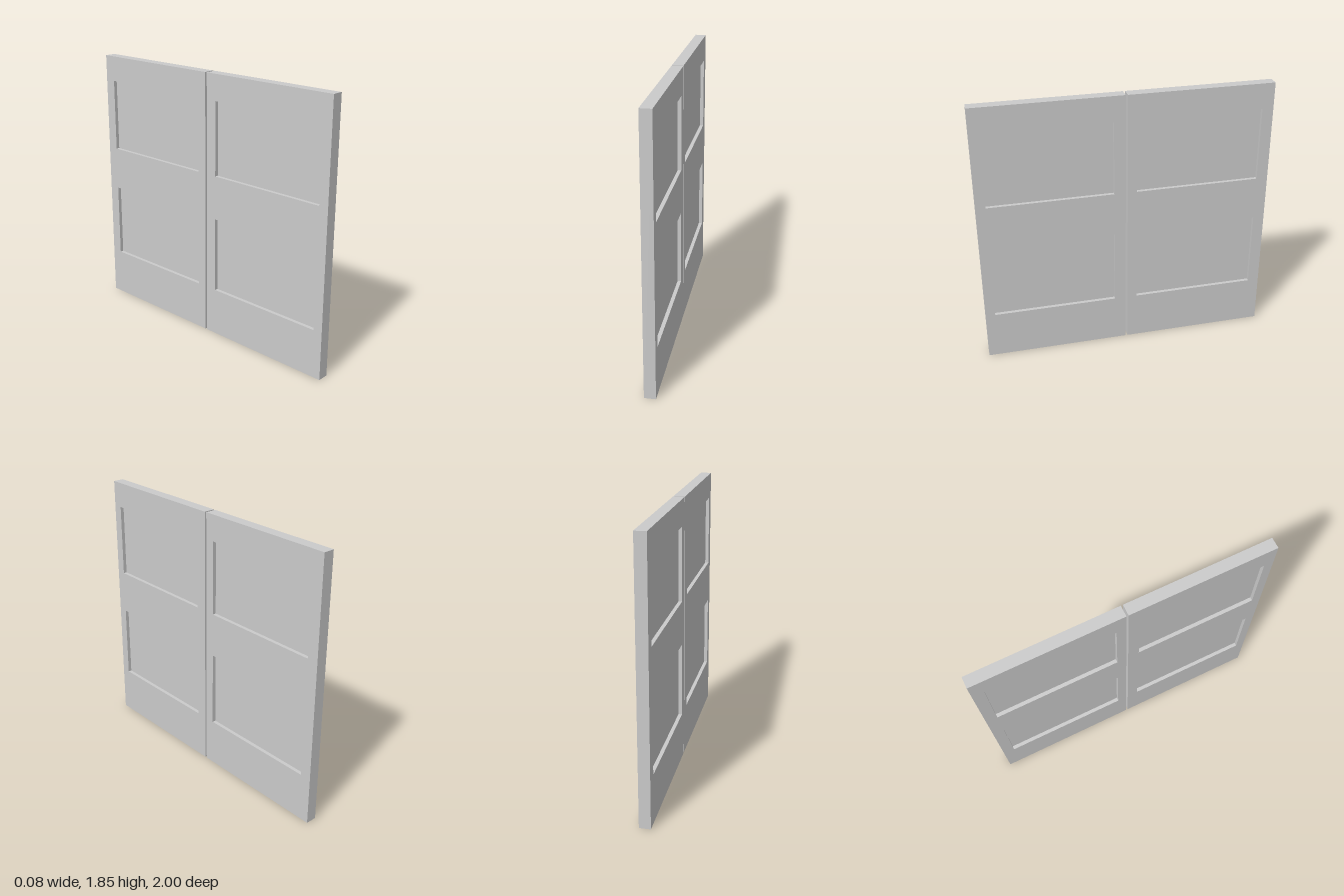
import * as THREE from 'three';

const HEIGHT = 1.85, THICK = 0.076, RECESS = 0.025;
const LEAF_WIDTH = 0.993;
// recessed panels, measured from the leaf's lower corner
const PANEL_X0 = 0.077, PANEL_X1 = 0.928;
const PANEL_ROWS = [[0.335, 0.86], [1.165, 1.673]];

const material = new THREE.MeshStandardMaterial({ color: 0xcccccc, flatShading: true });

function rectangle(Type, x0, y0, x1, y1) {
  return new Type([[x0, y0], [x1, y0], [x1, y1], [x0, y1]].map(([x, y]) => new THREE.Vector2(x, y)));
}

// extrude a flat outline and turn it so its width runs along z and its depth along x
function slab(name, shape, depth) {
  const geometry = new THREE.ExtrudeGeometry(shape, { depth, bevelEnabled: false });
  geometry.translate(0, 0, -depth / 2).rotateY(-Math.PI / 2);
  const mesh = new THREE.Mesh(geometry, material);
  mesh.name = name;
  return mesh;
}

function doorLeaf(name, z) {
  const leaf = new THREE.Group();
  leaf.name = name;

  // frame with two openings
  const frame = rectangle(THREE.Shape, 0, 0, LEAF_WIDTH, HEIGHT);
  for (const [y0, y1] of PANEL_ROWS) frame.holes.push(rectangle(THREE.Path, PANEL_X0, y0, PANEL_X1, y1));
  leaf.add(slab('doorFrame', frame, THICK));

  // thin panels set back from both faces
  PANEL_ROWS.forEach(([y0, y1], i) => {
    const outline = rectangle(THREE.Shape, PANEL_X0, y0, PANEL_X1, y1);
    leaf.add(slab(i ? 'upperPanel' : 'lowerPanel', outline, THICK - 2 * RECESS));
  });

  leaf.position.z = z;
  return leaf;
}

export function createModel() {
  const model = new THREE.Group();
  model.name = 'doubleDoor';
  model.add(doorLeaf('frontLeaf', 1 - LEAF_WIDTH), doorLeaf('backLeaf', -1));
  return model;
}
